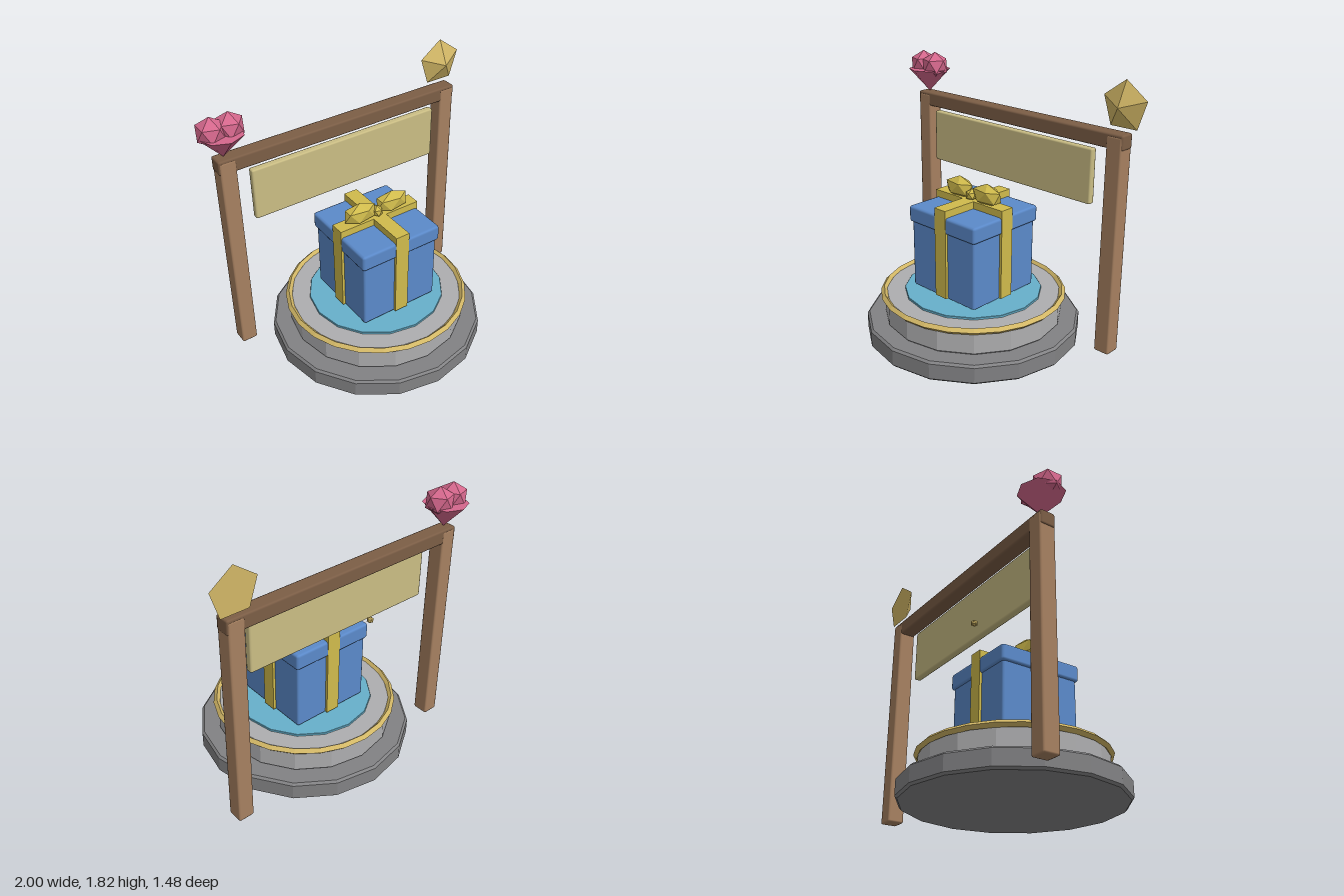
import * as THREE from 'three';
import { RoundedBoxGeometry } from 'three/addons/geometries/RoundedBoxGeometry.js';

const paint = (name, color) => {
  const m = new THREE.MeshStandardMaterial({ color });
  m.name = name;
  return m;
};

// Facet a geometry with one normal per face
function faceted(geo) {
  const g = geo.index ? geo.toNonIndexed() : geo;
  g.computeVertexNormals();
  return g;
}

// Box with a small chamfer on every edge
const chamferBox = (w, h, d, b = 0.012) => new RoundedBoxGeometry(w, h, d, 1, b);

// Sixteen-sided disc with chamfered rims
function disc(r, y0, y1, b) {
  const pts = [[0, y0], [r - b, y0], [r, y0 + b], [r, y1 - b], [r - b, y1], [0, y1]];
  return faceted(new THREE.LatheGeometry(pts.map(p => new THREE.Vector2(...p)), 16));
}

// Icosahedron standing on a vertex, stretched along each axis
function gem(sx, sy = sx, sz = sx) {
  const g = new THREE.IcosahedronGeometry(1, 0);
  g.rotateZ(-0.5536);
  g.scale(sx, sy, sz);
  return faceted(g);
}

export function createModel() {
  const model = new THREE.Group();
  model.name = 'giftStand';

  const darkStone = paint('darkStone', 0x828284);
  const lightStone = paint('lightStone', 0xaeaeb0);
  const trimGold = paint('trimGold', 0xd2b766);
  const aqua = paint('aqua', 0x67b0cb);
  const blue = paint('blue', 0x5b8aca);
  const ribbonYellow = paint('ribbonYellow', 0xd0bb4c);
  const wood = paint('wood', 0xa68060);
  const darkWood = paint('darkWood', 0x7c5e46);
  const cream = paint('cream', 0xcabd84);
  const pink = paint('pink', 0xd4678c);

  const add = (name, geo, mat, x = 0, y = 0, z = 0, parent = model) => {
    const mesh = new THREE.Mesh(geo, mat);
    mesh.name = name;
    mesh.position.set(x, y, z);
    parent.add(mesh);
    return mesh;
  };
  const group = (name) => {
    const g = new THREE.Group();
    g.name = name;
    model.add(g);
    return g;
  };

  // Stepped round pedestal
  const pedestal = group('pedestal');
  add('lowerStep', disc(0.738, 0, 0.135, 0.015), darkStone, 0, 0, 0, pedestal);
  add('upperStep', disc(0.61, 0.135, 0.31, 0.012), lightStone, 0, 0, 0, pedestal);
  add('topInlay', disc(0.47, 0.305, 0.325, 0.002), aqua, 0, 0, 0, pedestal);
  const ring = new THREE.TorusGeometry(0.613, 0.023, 4, 24);
  ring.rotateX(Math.PI / 2);
  add('rimRing', faceted(ring), trimGold, 0, 0.307, 0, pedestal);

  // Gift box with crossed ribbon
  const gift = group('gift');
  add('box', chamferBox(0.575, 0.49, 0.575, 0.015), blue, 0, 0.585, 0, gift);
  add('lid', chamferBox(0.606, 0.113, 0.606, 0.018), blue, 0, 0.862, 0, gift);
  add('ribbonAcross', new THREE.BoxGeometry(0.612, 0.62, 0.1), ribbonYellow, 0, 0.658, 0, gift);
  add('ribbonFrontToBack', new THREE.BoxGeometry(0.1, 0.62, 0.612), ribbonYellow, 0, 0.658, 0, gift);

  // Bow
  for (const s of [-1, 1]) {
    add('bowLoop', gem(0.13, 0.08, 0.063), ribbonYellow, s * 0.125, 1.018, 0, gift);
  }
  add('bowKnot', gem(0.042, 0.042, 0.05), ribbonYellow, 0, 0.995, 0.012, gift);

  // Gate behind the pedestal
  const gate = group('gate');
  for (const s of [-1, 1]) {
    add('post', chamferBox(0.112, 1.485, 0.112), wood, s * 0.845, 0.7425, -0.402, gate);
  }
  add('beam', chamferBox(1.815, 0.1, 0.106, 0.014), darkWood, 0, 1.45, -0.402, gate);
  add('signBoard', chamferBox(1.412, 0.368, 0.05), cream, 0, 1.2, -0.347, gate);
  add('signKnob', gem(0.024), trimGold, -0.183, 1.06, -0.437, gate);

  // Heart on the right post: downward cone and two round lobes
  const heart = group('heart');
  heart.position.set(-0.846, 0, -0.402);
  const tip = new THREE.ConeGeometry(0.15, 0.165, 8);
  tip.rotateX(Math.PI);
  add('heartTip', faceted(tip), pink, 0, 1.583, 0, heart);
  for (const s of [-1, 1]) {
    add('heartLobe', gem(0.1), pink, s * 0.061, 1.692, 0, heart);
  }

  // Five-sided point on the left post, flat at the back
  const star = new THREE.ConeGeometry(0.165, 0.08, 5);
  star.rotateY(Math.PI);
  star.rotateX(Math.PI / 2);
  add('starPoint', faceted(star), trimGold, 0.844, 1.655, -0.405);

  model.children.forEach(c => { c.position.x -= 0.004; });
  return model;
}
